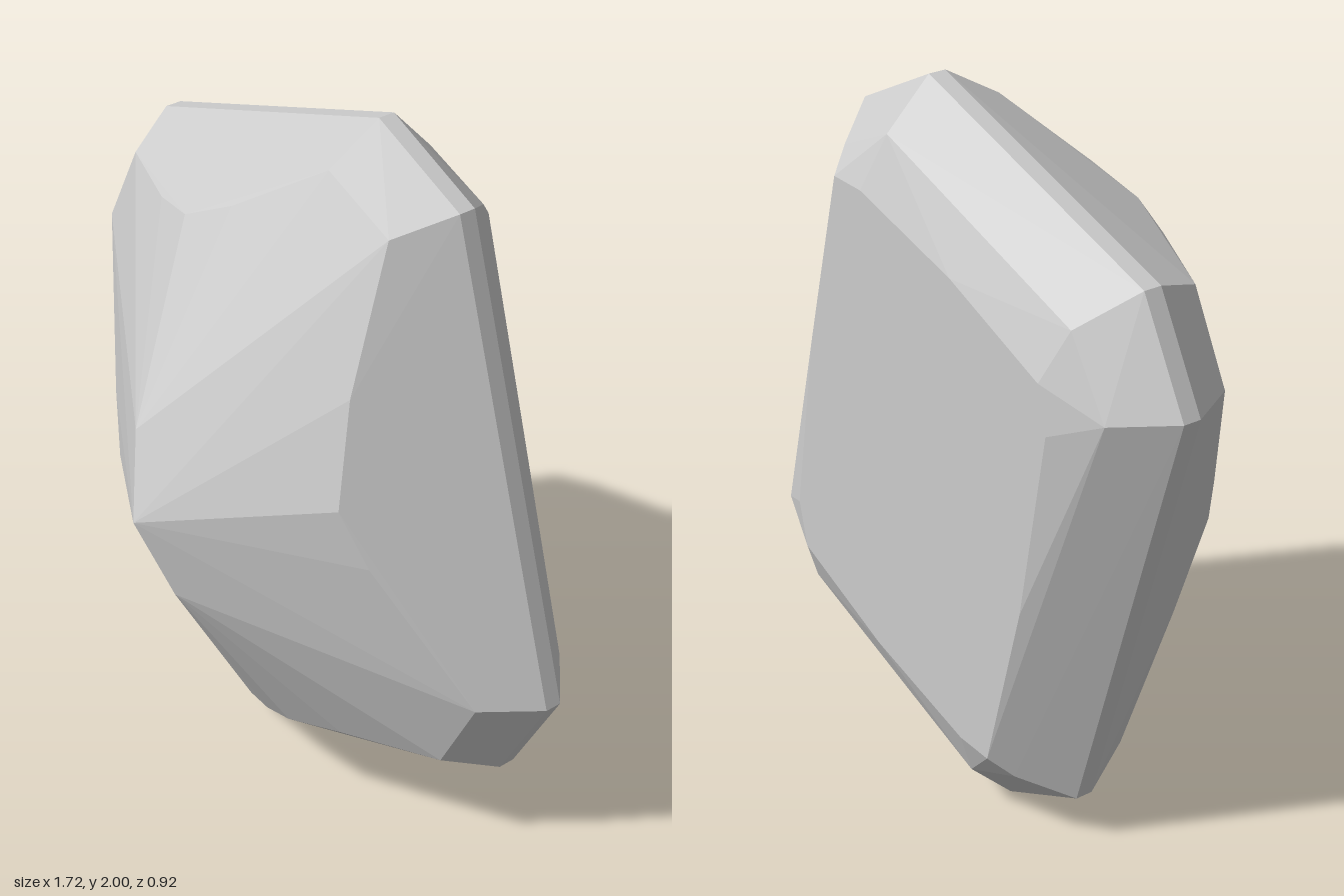
import * as THREE from 'three';
import { ConvexGeometry } from 'three/addons/geometries/ConvexGeometry.js';

// Each ring lists half its corners [x, y, z] about the gem's axis;
// the other half is the same turned by 180 degrees.
const girdle = [[0.16, 1.0], [0.46, 0.85], [0.862, -0.44], [0.707, -0.725]];

// Front: where the side facets meet the fan of pavilion facets
const pavilion = [
  [0.155, 0.905, -0.06], [0.38, 0.8, -0.06],
  [0.415, 0.42, 0.088], [0.46, 0.14, 0.16], [0.53, -0.02, 0.115],
  [0.76, -0.425, -0.06], [0.64, -0.66, -0.06],
  [0.37, -0.668, 0.06], [0.21, -0.695, 0.108], [0.07, -0.76, 0.067],
];

// Short ridge running to the point
const ridge = [[-0.075, 0.22, 0.387], [0, 0, 0.46]];

// Back: step of the crown, then the flat table
const crown = [
  [0.16, 0.87, -0.4], [0.36, 0.78, -0.4], [0.73, -0.42, -0.4], [0.6, -0.62, -0.4],
];
const table = [
  [0.2, 0.72, -0.46], [0.32, 0.72, -0.46], [0.47, 0.2, -0.46],
  [0.58, -0.35, -0.46], [0.55, -0.48, -0.46], [0.19, -0.62, -0.46],
];

export function createModel() {
  const half = [
    ...girdle.map(([x, y]) => [x, y, -0.22]),
    ...girdle.map(([x, y]) => [x, y, -0.27]),
    ...pavilion, ...ridge, ...crown, ...table,
  ];
  const points = [];
  for (const [x, y, z] of half) {
    points.push(new THREE.Vector3(x, 1 + y, z));
    if (x !== 0 || y !== 0) points.push(new THREE.Vector3(-x, 1 - y, z));
  }

  const gem = new THREE.Mesh(
    new ConvexGeometry(points),
    new THREE.MeshStandardMaterial({ color: 0xcccccc, flatShading: true }),
  );
  gem.name = 'cutGem';

  const group = new THREE.Group();
  group.name = 'gemstone';
  group.add(gem);
  return group;
}
